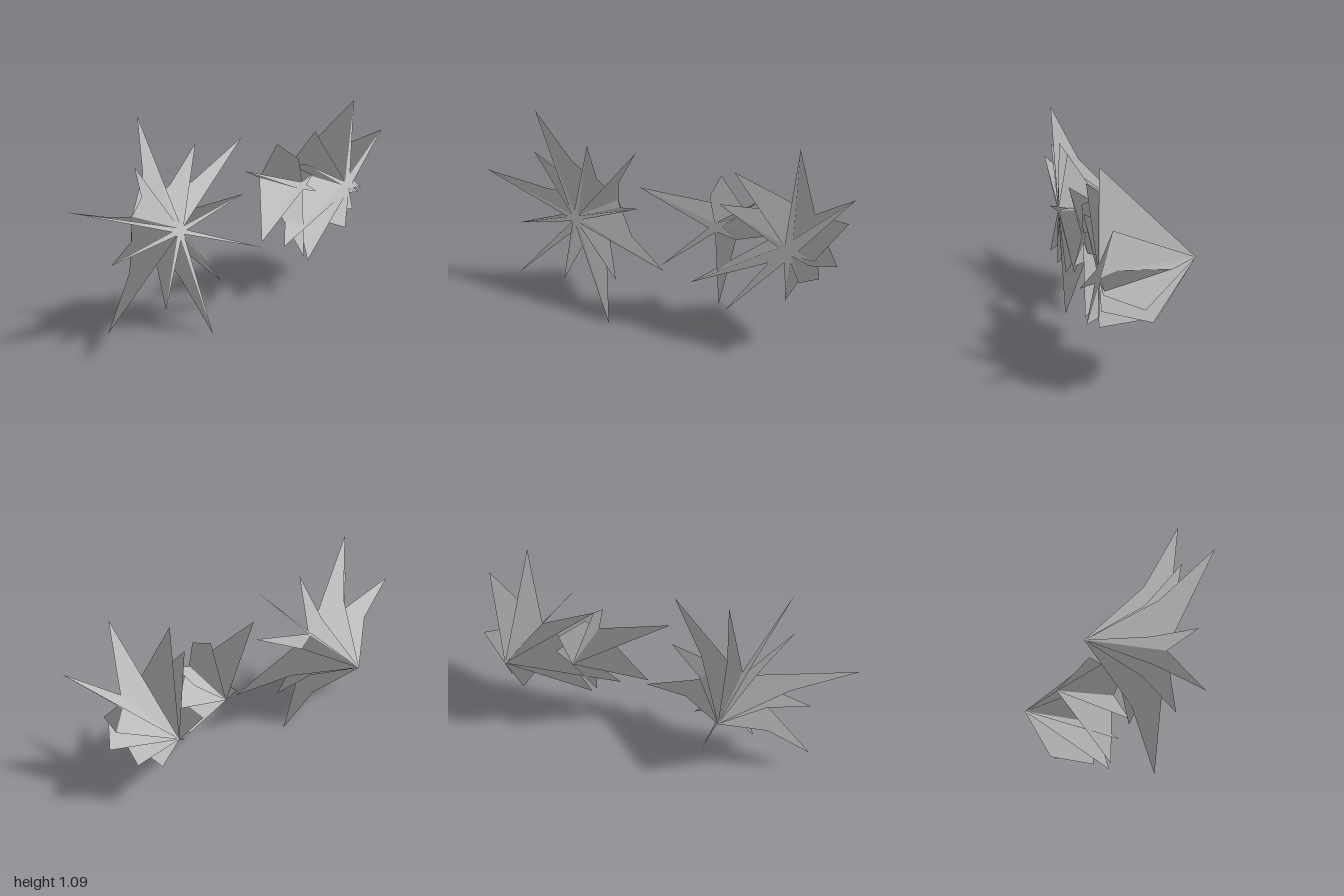
import * as THREE from 'three';

const FRONT = 0.214; // flat front plane shared by all shards

// One shard: a thin wedge from the burst centre out to a tip, with a keel
// running tip -> mid -> apex behind the front plane. Its flanks are shaded
// softly, as one sheet facing forward with a slight lean around the burst.
function shard(centre, apex, tip, mid, burstSpec) {
  const { width, thinAngle, fold, lean } = burstSpec;
  const T = new THREE.Vector3(tip[0], tip[1], FRONT);
  const M = new THREE.Vector3(...mid);
  const A = new THREE.Vector3(...apex);
  const C = new THREE.Vector3(centre[0], centre[1], FRONT);
  const angle = Math.atan2(T.y - C.y, T.x - C.x);
  const w = width * Math.max(0.04, Math.abs(Math.sin(fold * (angle - thinAngle))));
  const around = new THREE.Vector3(-Math.sin(angle), Math.cos(angle), 0);
  const L = C.clone().addScaledVector(around, w);
  const R = C.clone().addScaledVector(around, -w);
  const corners = [
    R, T, L,            // front cap
    L, T, M, L, M, A,   // one flank
    R, M, T, R, A, M,   // other flank
  ];
  const soft = new THREE.Vector3(0, 0, 1).addScaledVector(around, lean).normalize();
  const normals = corners.flatMap((_, i) => (i < 3 ? [0, 0, 1] : soft.toArray()));
  const geometry = new THREE.BufferGeometry().setFromPoints(corners);
  geometry.setAttribute('normal', new THREE.Float32BufferAttribute(normals, 3));
  return geometry;
}

// A burst: several shards around one centre. Each ray is
// [tipX, tipY] or [tipX, tipY, midX, midY, midZ] for blunt shards.
// hollow pulls the middle of each plain keel in towards the front plane.
function burst(name, spec, material) {
  const { centre, apex, hollow, rays } = spec;
  const group = new THREE.Group();
  group.name = name;
  rays.forEach((ray, i) => {
    const mid = ray.length > 2 ? ray.slice(2) : [
      THREE.MathUtils.lerp(apex[0], ray[0], 0.48),
      THREE.MathUtils.lerp(apex[1], ray[1], 0.48),
      THREE.MathUtils.lerp(apex[2], FRONT, 0.48 + hollow),
    ];
    const mesh = new THREE.Mesh(shard(centre, apex, ray, mid, spec), material);
    mesh.name = `${name}Shard${i + 1}`;
    group.add(mesh);
  });
  return group;
}

export function createModel() {
  const grey = new THREE.MeshStandardMaterial({ color: 0xd6d6d6, side: THREE.DoubleSide });
  grey.name = 'grey';
  const model = new THREE.Group();
  model.name = 'shardBursts';

  // Even twelve-pointed burst with hollow keels
  model.add(burst('wideBurst', {
    centre: [-0.43, 0.55], apex: [-0.425, 0.54, -0.178],
    width: 0.015, thinAngle: Math.PI / 4, fold: 2, lean: 0.08, hollow: 0.17,
    rays: [
      [-1, 0.73], [-0.8, 0.465], [-0.83, 0.165], [-0.52, 0.195], [-0.24, 0], [-0.19, 0.26],
      [0.09, 0.37], [-0.05, 0.665], [-0.06, 0.94], [-0.34, 0.94], [-0.65, 1.085], [-0.67, 0.87],
    ],
  }, grey));

  // Small middle burst, blunt on its upper and +x sides
  model.add(burst('smallBurst', {
    centre: [0.365, 0.645], apex: [0.365, 0.64, -0.105],
    width: 0.022, thinAngle: 1.75, fold: 1, lean: -0.08, hollow: 0,
    rays: [
      [-0.04, 0.775], [0.08, 0.4], [0.39, 0.26],
      [0.333, 0.79, 0.32, 0.85, 0.07],
      [0.47, 0.605, 0.54, 0.58, 0.05],
      [0.44, 0.695, 0.48, 0.725, -0.02],
    ],
  }, grey));

  // Deep burst, with blunt shards low on its +x side
  model.add(burst('deepBurst', {
    centre: [0.72, 0.6], apex: [0.69, 0.635, -0.213],
    width: 0.03, thinAngle: 2.24, fold: 1, lean: -0.08, hollow: 0,
    rays: [
      [1, 0.88], [0.75, 1.06], [0.45, 0.92], [0.38, 0.76], [0.24, 0.345], [0.42, 0.235],
      [0.84, 0.575, 0.905, 0.675, -0.05],
      [0.82, 0.55, 0.9, 0.505, 0.06],
      [0.776, 0.46, 0.8, 0.4, 0],
      [0.72, 0.362, 0.7, 0.375, -0.05],
    ],
  }, grey));

  return model;
}
